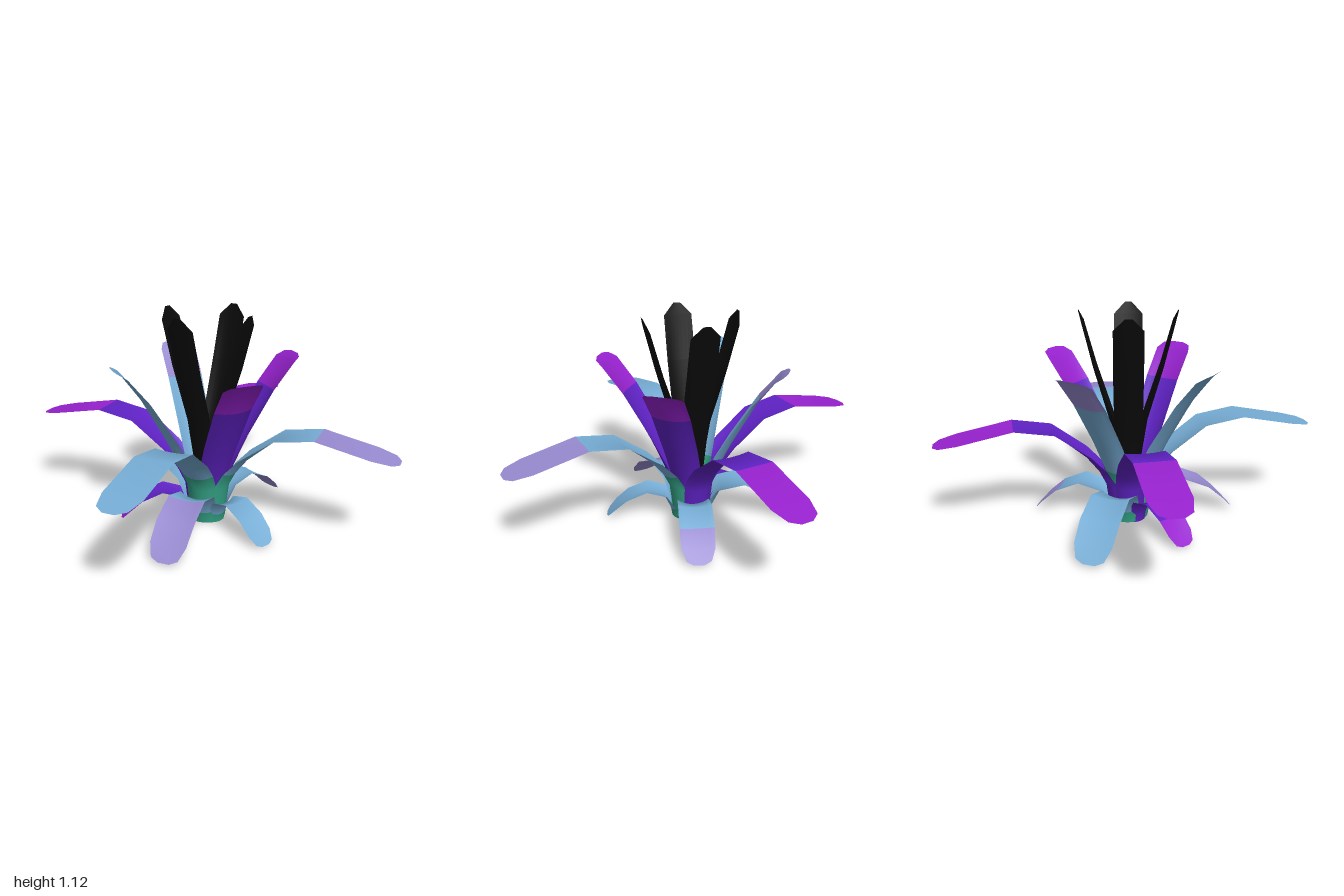
import * as THREE from 'three';

const mat = (name, color) => {
  const m = new THREE.MeshStandardMaterial({ color, side: THREE.DoubleSide });
  m.name = name;
  return m;
};

// Leaf profiles, base to tip. Each row: [distance from axis, height, half width, cupping angle]
const innerRows = [
  [0.045, 0.01, 0.06, 1.1], [0.06, 0.3, 0.075, 1.0], [0.1, 0.56, 0.08, 0.7],
  [0.18, 0.84, 0.078, 0.4], [0.235, 1.07, 0.075, 0.2], [0.25, 1.13, 0.018, 0.05],
];
const tallRows = [
  [0.08, 0.01, 0.09, 1.2], [0.11, 0.2, 0.1, 1.1], [0.145, 0.3, 0.1, 0.95], [0.22, 0.46, 0.1, 0.7],
  [0.35, 0.7, 0.1, 0.35], [0.45, 0.84, 0.1, 0.15], [0.485, 0.868, 0.08, 0.05], [0.5, 0.878, 0.035, 0],
];
const longRows = [
  [0.095, 0.01, 0.1, 1.2], [0.12, 0.2, 0.1, 1.0], [0.16, 0.28, 0.1, 0.8], [0.23, 0.37, 0.1, 0.55],
  [0.4, 0.52, 0.1, 0.15], [0.6, 0.56, 0.1, 0.02], [0.88, 0.505, 0.1, 0], [0.97, 0.487, 0.075, 0], [1, 0.48, 0.03, 0],
];
const lowRows = [
  [0.105, 0.01, 0.1, 1.1], [0.115, 0.07, 0.1, 1.0], [0.16, 0.17, 0.1, 0.6], [0.28, 0.215, 0.1, 0.3],
  [0.42, 0.16, 0.1, 0.15], [0.51, 0.085, 0.095, 0.08], [0.56, 0.035, 0.07, 0], [0.575, 0.02, 0.03, 0],
];

// Strip swept along a profile; bands lists [first row, material] from base to tip
function leaf(name, rows, degrees, bands, scale = 1) {
  const cols = 8;
  const pos = [];
  const index = [];
  rows.forEach(([r, y, w, bend], i) => {
    const a = rows[Math.max(i - 1, 0)];
    const b = rows[Math.min(i + 1, rows.length - 1)];
    const len = Math.hypot(b[0] - a[0], b[1] - a[1]);
    const tz = (b[0] - a[0]) / len;
    const ty = (b[1] - a[1]) / len;
    const t = Math.max(bend, 0.001);
    for (let c = 0; c <= cols; c++) {
      const u = (c / cols) * 2 - 1;
      const side = w * Math.sin(t * u) / t;
      const lift = i === 0 ? 0 : w * (1 - Math.cos(t * u)) / t;
      const inward = i === 0 ? w * (1 - Math.cos(t * u)) / t : lift * ty;
      // small leaves keep their base against the stem
      const z = 0.1 * (1 - scale) + scale * (r - inward);
      pos.push(scale * side, scale * (y + lift * tz), z);
    }
  });
  const geo = new THREE.BufferGeometry();
  bands.forEach(([first], k) => {
    const last = k + 1 < bands.length ? bands[k + 1][0] : rows.length - 1;
    geo.addGroup(first * cols * 6, (last - first) * cols * 6, k);
  });
  for (let i = 0; i < rows.length - 1; i++) {
    for (let c = 0; c < cols; c++) {
      const p = i * (cols + 1) + c;
      const q = p + cols + 1;
      index.push(p, q, p + 1, p + 1, q, q + 1);
    }
  }
  geo.setAttribute('position', new THREE.Float32BufferAttribute(pos, 3));
  geo.setIndex(index);
  geo.computeVertexNormals();
  const mesh = new THREE.Mesh(geo, bands.map((b) => b[1]));
  mesh.name = name;
  mesh.rotation.y = THREE.MathUtils.degToRad(degrees);
  return mesh;
}

export function createModel() {
  const plant = new THREE.Group();
  plant.name = 'rosettePlant';
  const black = mat('black', 0x0a0a0a);
  const green = mat('green', 0x35a588);
  const blue = mat('blue', 0x76acd4);
  const lavender = mat('lavender', 0x978ad0);
  const violet = mat('violet', 0x5f22c4);
  const purple = mat('purple', 0x9722cf);

  // Colour schemes, given the rows where the base ends and the tip starts
  const plain = (base) => [[0, green], [base, blue]];
  const pale = (base, tip) => [[0, green], [base, blue], [tip, lavender]];
  const dark = (base, tip) => [[0, violet], [tip, purple]];

  // Upright inner leaves, slightly turned
  for (let i = 0; i < 4; i++) plant.add(leaf('innerLeaf', innerRows, i * 90 - 11, [[0, black]]));

  // Tall diagonal leaves
  [dark, dark, pale, plain].forEach((scheme, i) => {
    plant.add(leaf('tallLeaf', tallRows, 45 + i * 90, scheme(2, 4)));
  });

  // Long arching leaves
  [plain, pale, dark, dark].forEach((scheme, i) => {
    plant.add(leaf('longLeaf', longRows, i * 90, scheme(2, 5)));
  });

  // Low drooping leaves
  [[2, pale, 1, 3], [63, plain, 0.76, 4], [156, pale, 0.88, 4], [240, plain, 1.03, 4], [297, dark, 0.77, 4]]
    .forEach(([angle, scheme, size, tip]) => {
      plant.add(leaf('lowLeaf', lowRows, angle, scheme(1, tip), size));
    });

  return plant;
}
